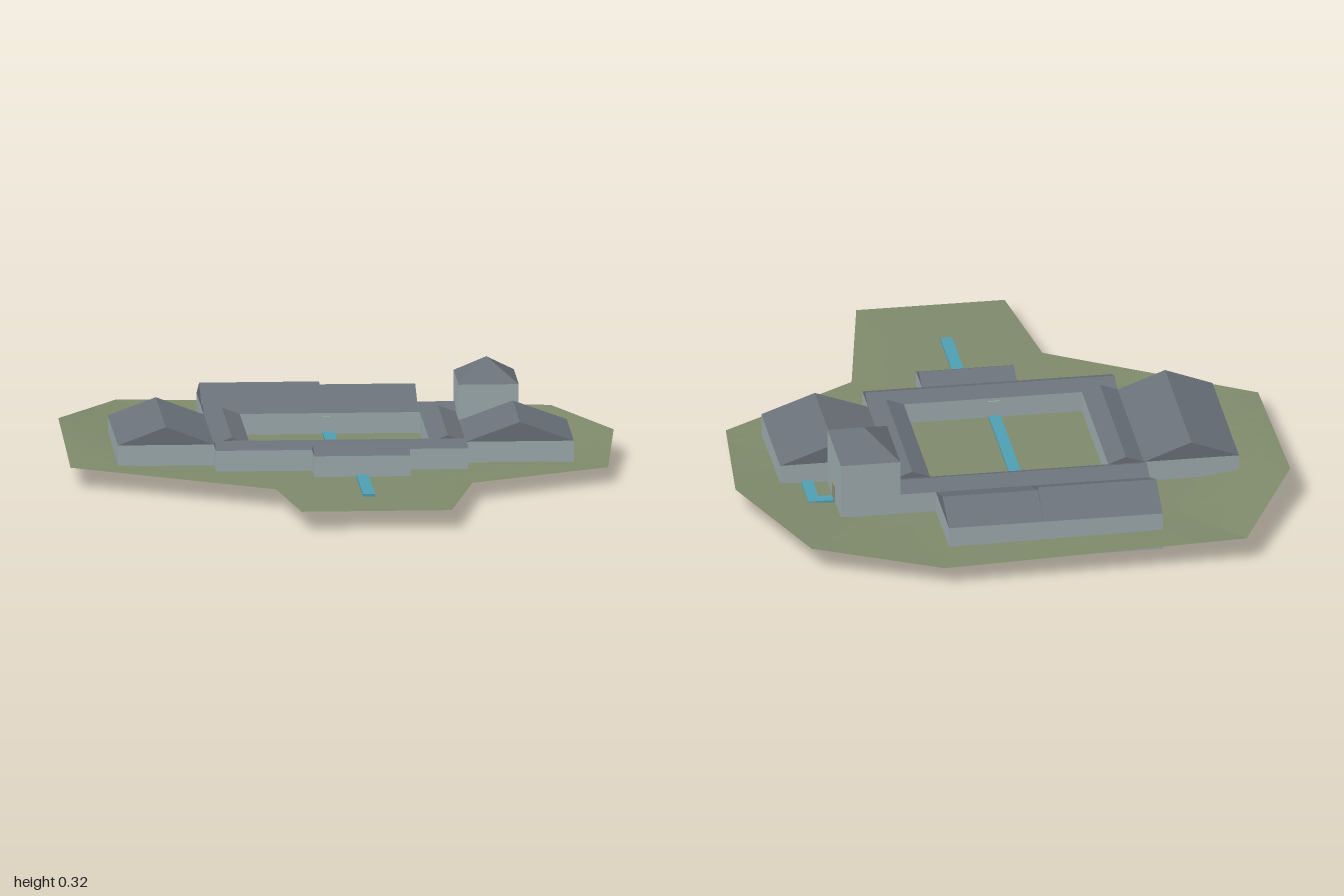
import * as THREE from 'three';

const mat = (name, color, extra = {}) => {
  const m = new THREE.MeshStandardMaterial({ color, flatShading: true, ...extra });
  m.name = name;
  return m;
};

export function createModel() {
  const model = new THREE.Group();
  model.name = 'courtyardComplex';
  const wall = mat('wall grey', 0xa0adb1);
  const roof = mat('roof slate', 0x6b727a);
  const grass = mat('grass', 0x808b6c, { side: THREE.DoubleSide });
  const water = mat('water', 0x50a0b4);
  const sideDoor = mat('side door', 0x8e947c);

  const add = (parent, name, geo, material) => {
    const m = new THREE.Mesh(geo, material);
    m.name = name;
    parent.add(m);
    return m;
  };
  const box = (parent, name, material, [x0, x1], [y0, y1], [z0, z1]) => {
    const g = new THREE.BoxGeometry(x1 - x0, y1 - y0, z1 - z0);
    g.translate((x0 + x1) / 2, (y0 + y1) / 2, (z0 + z1) / 2);
    return add(parent, name, g, material);
  };

  // Triangular roof prism whose ridge runs along x or z
  const gable = (parent, x, z, eave, ridge, axis) => {
    const alongX = axis === 'x';
    const w = alongX ? z[1] - z[0] : x[1] - x[0];
    const len = alongX ? x[1] - x[0] : z[1] - z[0];
    const s = new THREE.Shape();
    s.moveTo(-w / 2, 0);
    s.lineTo(w / 2, 0);
    s.lineTo(0, ridge - eave);
    s.closePath();
    const g = new THREE.ExtrudeGeometry(s, { depth: len, bevelEnabled: false });
    g.translate(0, 0, -len / 2);
    if (alongX) g.rotateY(Math.PI / 2);
    g.translate((x[0] + x[1]) / 2, eave, (z[0] + z[1]) / 2);
    add(parent, 'roof', g, roof);
  };

  // Buildings: name, x range, z range, floor height, ridge height, ridge axis
  const EAVE = 0.13, FLOOR = 0.05;
  const halls = [
    ['westWing', [-0.76, -0.44], [-0.44, 0.12], FLOOR, 0.19, 'z'],
    ['eastWing', [0.40, 0.76], [-0.28, 0.12], FLOOR, 0.195, 'z'],
    ['backHallWithCellar', [-0.44, -0.04], [-0.84, -0.56], 0, 0.19, 'x'],
    ['backHall', [-0.04, 0.28], [-0.84, -0.56], FLOOR, 0.18, 'x'],
    ['backCloister', [-0.44, 0.40], [-0.56, -0.44], 0, 0.155, 'x'],
    ['frontCloister', [-0.44, 0.40], [0.12, 0.24], FLOOR, 0.153, 'x'],
    ['westCloister', [-0.44, -0.32], [-0.44, 0.12], FLOOR, 0.153, 'z'],
    ['eastCloister', [0.28, 0.40], [-0.44, 0.12], FLOOR, 0.153, 'z'],
    ['entrancePorch', [-0.12, 0.20], [0.24, 0.36], FLOOR, 0.158, 'x'],
  ];
  for (const [name, x, z, floor, ridge, axis] of halls) {
    const g = new THREE.Group();
    g.name = name;
    box(g, 'walls', wall, x, [floor, EAVE], z);
    gable(g, x, z, EAVE, ridge, axis);
    model.add(g);
  }

  // Corner tower with a pyramid roof
  const tower = new THREE.Group();
  tower.name = 'tower';
  box(tower, 'walls', wall, [0.40, 0.60], [FLOOR, 0.25], [-0.56, -0.28]);
  const cap = new THREE.ConeGeometry(Math.SQRT1_2, 0.07, 4);
  cap.rotateY(Math.PI / 4).scale(0.20, 1, 0.28).translate(0.5, 0.285, -0.42);
  add(tower, 'pyramidRoof', cap, roof);
  model.add(tower);

  // Doors where the water channels meet the walls
  const doorY = [0.06, 0.12];
  box(model, 'porchDoor', wall, [0.02, 0.06], doorY, [0.36, 0.365]);
  box(model, 'courtyardBackDoor', wall, [-0.045, -0.005], doorY, [-0.44, -0.435]);
  box(model, 'courtyardFrontDoor', wall, [-0.045, -0.005], doorY, [0.115, 0.12]);
  box(model, 'towerDoor', sideDoor, [0.60, 0.605], doorY, [-0.44, -0.40]);

  // Water channels
  const waterY = [0.06, 0.068];
  box(model, 'frontChannel', water, [0.02, 0.06], waterY, [0.36, 0.73]);
  box(model, 'courtyardChannel', water, [-0.045, -0.005], waterY, [-0.44, 0.12]);
  box(model, 'towerChannel', water, [0.60, 0.65], waterY, [-0.44, -0.40]);
  box(model, 'towerChannelBend', water, [0.65, 0.69], waterY, [-0.44, -0.28]);

  // Ground sheet: flat middle that rises or falls towards the outline (x, height, z)
  const outline = [
    [-0.70, 0.085, -0.98], [0.32, 0.062, -1.0], [0.74, 0.08, -0.82], [0.92, 0.083, -0.34],
    [0.87, 0.05, 0.18], [0.40, 0.055, 0.47], [0.30, 0.06, 1.0], [-0.20, 0.06, 1.0],
    [-0.26, 0.06, 0.58], [-0.92, 0.064, 0.16], [-0.92, 0.108, -0.52],
  ].map((p) => new THREE.Vector3(...p));
  const centre = new THREE.Vector3(0.05, 0.06, 0.2);
  const STEPS = 6, rings = [0, 0.75, 0.83, 0.91, 1];
  const rim = [];
  outline.forEach((p, i) => {
    const q = outline[(i + 1) % outline.length];
    for (let k = 0; k < STEPS; k++) rim.push(p.clone().lerp(q, k / STEPS));
  });
  const pos = [], index = [], n = rim.length;
  rings.forEach((t, r) => rim.forEach((p, i) => {
    const v = centre.clone().lerp(p, t);
    v.y = THREE.MathUtils.lerp(0.06, p.y, Math.max(0, (t - 0.75) / 0.25));
    pos.push(v.x, v.y, v.z);
    if (r === 0) return;
    const j = (i + 1) % n, a = (r - 1) * n, b = r * n;
    index.push(a + i, b + j, b + i);
    if (r > 1) index.push(a + i, a + j, b + j);
  }));
  const ground = new THREE.BufferGeometry();
  ground.setAttribute('position', new THREE.Float32BufferAttribute(pos, 3));
  ground.setIndex(index);
  ground.computeVertexNormals();
  add(model, 'ground', ground, grass);

  return model;
}
